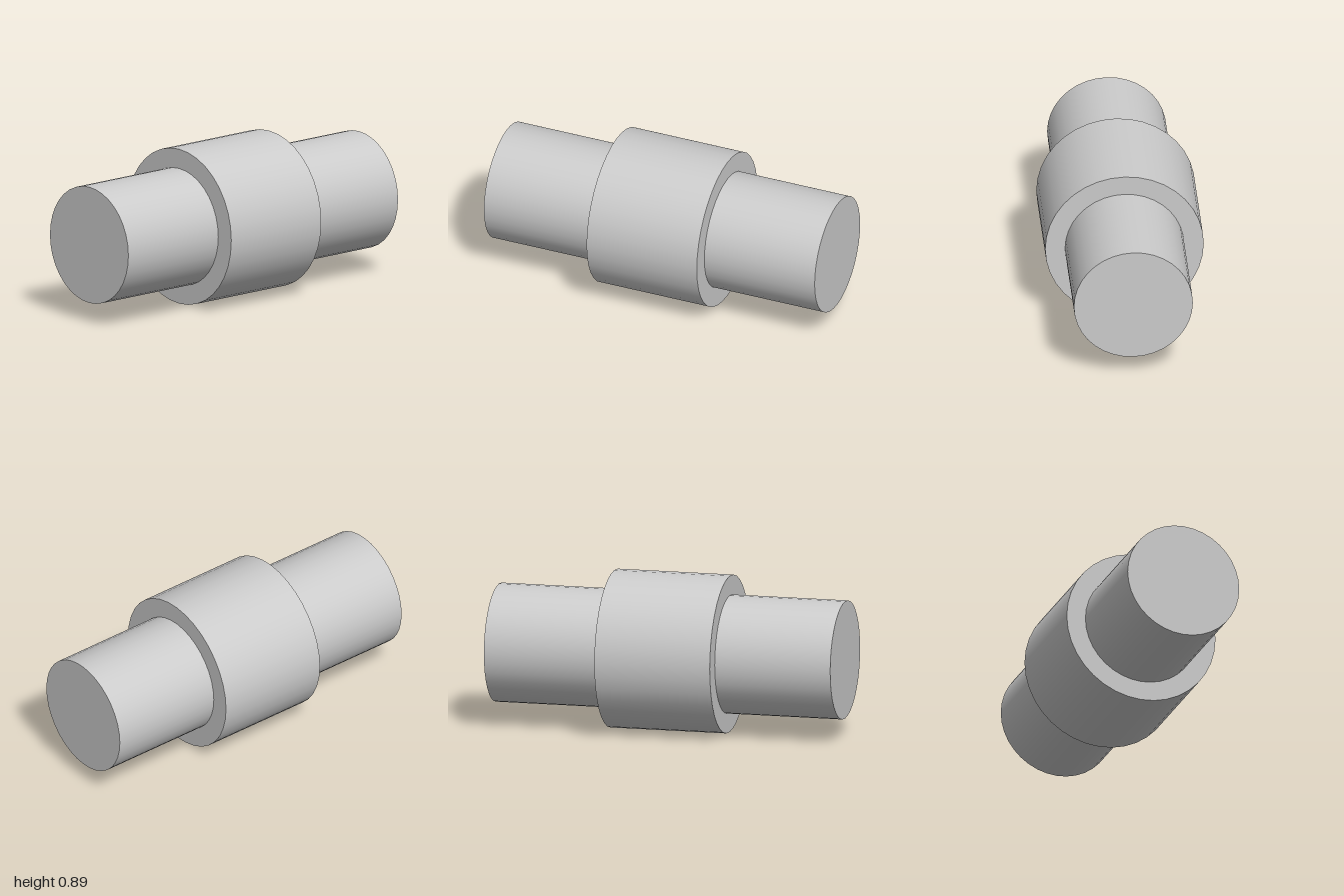
import * as THREE from 'three';

const SIDES = 36;
const COLLAR_RADIUS = 4 / 9;
const SHAFT_RADIUS = 1 / 3;

export function createModel() {
  const group = new THREE.Group();
  group.name = 'steppedShaft';
  const material = new THREE.MeshStandardMaterial({ color: 0xcccccc });

  // Solid cylinder lying along x, on the shared axis
  function addCylinder(name, radius, length, x) {
    const geometry = new THREE.CylinderGeometry(radius, radius, length, SIDES);
    geometry.rotateZ(Math.PI / 2);
    const mesh = new THREE.Mesh(geometry, material);
    mesh.name = name;
    mesh.position.set(x, COLLAR_RADIUS, 0);
    group.add(mesh);
  }

  // Wide middle collar
  addCylinder('collar', COLLAR_RADIUS, 2 / 3, 0);

  // Narrower journal on each end
  addCylinder('leftJournal', SHAFT_RADIUS, 2 / 3, 2 / 3);
  addCylinder('rightJournal', SHAFT_RADIUS, 2 / 3, -2 / 3);

  return group;
}
